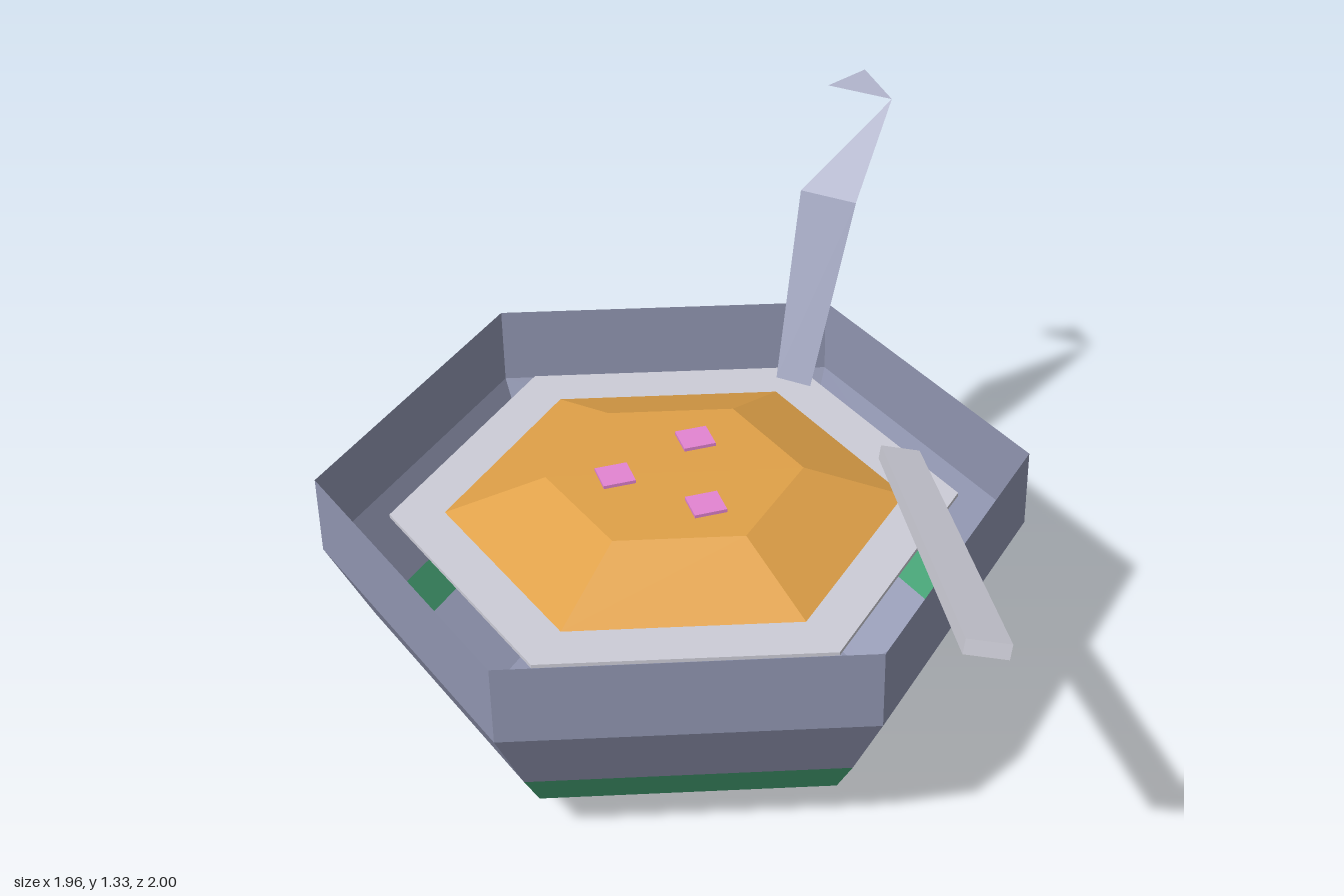
import * as THREE from 'three';

const mat = (name, color, double = false) => {
  const m = new THREE.MeshStandardMaterial({ color, flatShading: true });
  m.name = name;
  if (double) m.side = THREE.DoubleSide;
  return m;
};

export function createModel() {
  const slate = mat('slate', 0x9095b0, true);
  const green = mat('green', 0x47a577, true);
  const pale = mat('pale grey', 0xcdcdd7);
  const orange = mat('orange', 0xe0a148);
  const pink = mat('pink', 0xe384d2);

  const model = new THREE.Group();
  const add = (parent, name, geometry, material, x = 0, y = 0, z = 0) => {
    const mesh = new THREE.Mesh(geometry, material);
    mesh.name = name;
    mesh.position.set(x, y, z);
    parent.add(mesh);
    return mesh;
  };

  // Six-sided dish, everything in it shares one axis
  const dish = new THREE.Group();
  dish.name = 'dish';
  dish.position.set(-0.195, 0, 0.087);
  model.add(dish);

  // Thin bowl wall, one open hexagonal band per step of the profile
  const profile = [[0.485, 0], [0.733, 0.14], [0.797, 0.245], [0.912, 0.46], [0.912, 0.677]];
  const names = ['bowlBase', 'bowlStripe', 'bowlWall', 'bowlRim'];
  names.forEach((name, i) => {
    const [r0, y0] = profile[i], [r1, y1] = profile[i + 1];
    add(dish, name, new THREE.CylinderGeometry(r1, r0, y1 - y0, 6, 1, true),
      name === 'bowlStripe' ? green : slate, 0, (y0 + y1) / 2, 0);
  });
  const floor = new THREE.CircleGeometry(0.485, 6, Math.PI / 2).rotateX(Math.PI / 2);
  add(dish, 'bowlFloor', floor, slate);

  // Thin filling layer with a raised mound on it
  add(dish, 'filling', new THREE.CylinderGeometry(0.733, 0.733, 0.01, 6), pale, 0, 0.557, 0);
  add(dish, 'mound', new THREE.CylinderGeometry(0.33, 0.592, 0.098, 6), orange, 0, 0.611, 0);

  // Diamond toppings
  for (const [x, z] of [[-0.215, -0.065], [-0.32, 0.175], [-0.055, 0.185]]) {
    add(model, 'topping', new THREE.CylinderGeometry(0.06, 0.06, 0.009, 4), pink, x, 0.666, z);
  }

  // Flat stick leaning over the rim
  const low = new THREE.Vector3(0.267, 0.625, -0.288);
  const high = new THREE.Vector3(0.935, 1.0, 0.805);
  const along = high.clone().sub(low);
  const length = along.length();
  along.normalize();
  const up = new THREE.Vector3().crossVectors(along, new THREE.Vector3(0.09, -0.02, -0.05)).normalize();
  if (up.y < 0) up.negate();
  const across = new THREE.Vector3().crossVectors(up, along);
  const stick = add(model, 'stick', new THREE.BoxGeometry(0.103, 0.036, length), pale);
  stick.quaternion.setFromRotationMatrix(new THREE.Matrix4().makeBasis(across, up, along));
  stick.position.copy(low).add(high).multiplyScalar(0.5);

  // Bent sheet handle with a small separate tip
  const sheet = (points, index) => {
    const g = new THREE.BufferGeometry();
    g.setAttribute('position', new THREE.Float32BufferAttribute(points.flat(), 3));
    g.setIndex(index);
    const flat = g.toNonIndexed();
    flat.computeVertexNormals();
    return flat;
  };
  const handle = new THREE.Group();
  handle.name = 'handle';
  model.add(handle);
  add(handle, 'handleShaft', sheet([
    [-0.22, 0.57, -0.56], [-0.117, 0.57, -0.56],
    [-0.09, 1.04, -0.78], [-0.255, 1.04, -0.78],
    [-0.075, 1.27, -0.97],
  ], [0, 1, 2, 0, 2, 3, 3, 2, 4]), slate);
  add(handle, 'handleTip', sheet([
    [-0.265, 1.27, -0.97], [-0.075, 1.27, -0.97], [-0.17, 1.325, -1.0],
  ], [0, 1, 2]), slate);

  return model;
}
